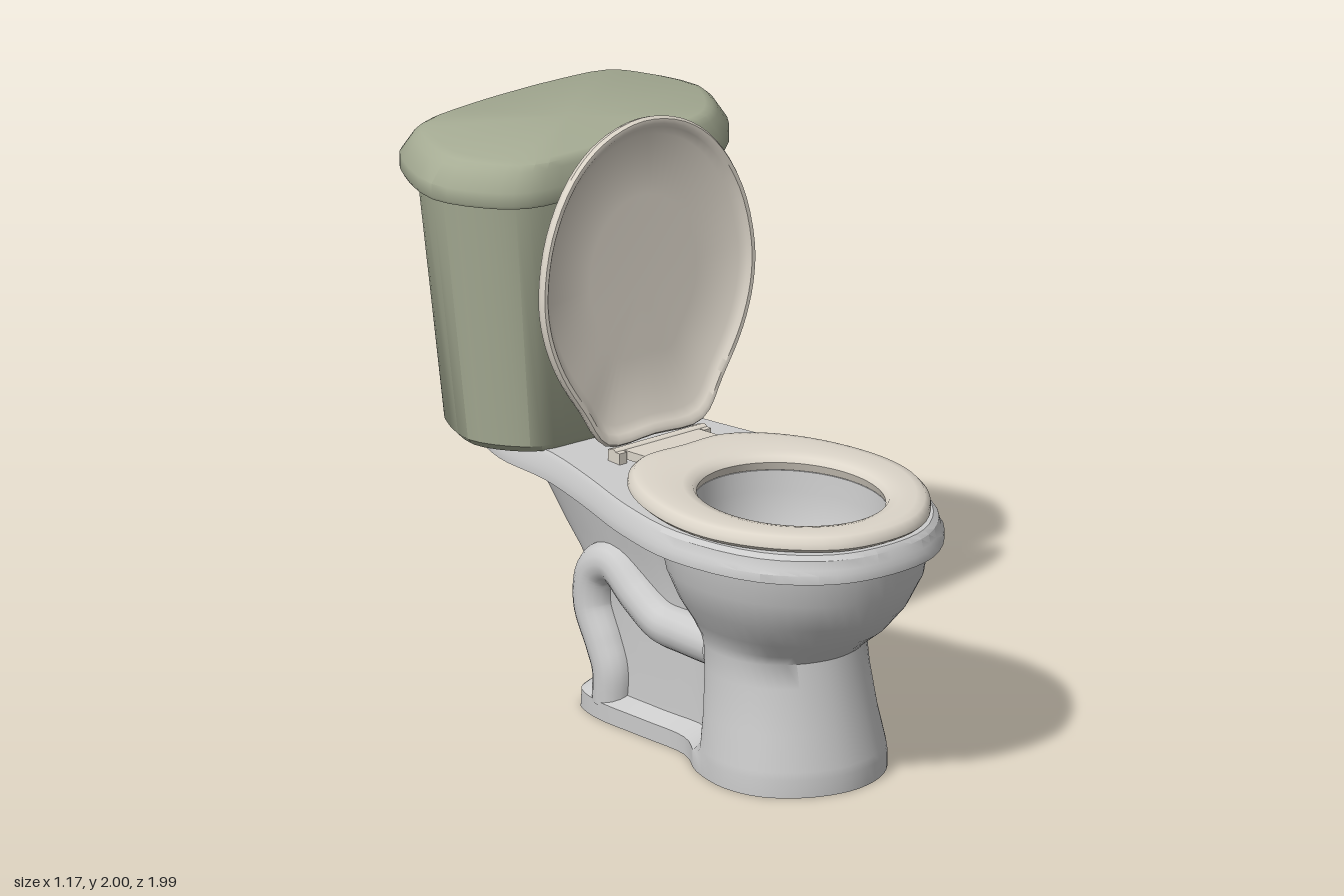
import * as THREE from 'three';
import { toCreasedNormals } from 'three/addons/utils/BufferGeometryUtils.js';

const material = (color) => new THREE.MeshStandardMaterial({ color });
const SEGMENTS = 72;

// Closed smooth ring at height y from a half outline of [x, z], front to back
function ring(half, y, n = SEGMENTS) {
  const mirrored = half.slice(1, -1).reverse().map(([x, z]) => [-x, z]);
  const points = [...half, ...mirrored].map(([x, z]) => new THREE.Vector3(x, y, z));
  const curve = new THREE.CatmullRomCurve3(points, true, 'centripetal');
  return Array.from({ length: n }, (_, i) => curve.getPoint(i / n));
}

// Scale an outline about z = cz, optionally moving its centre
const scaled = (half, sx, sz, cz, newCz = cz) =>
  half.map(([x, z]) => [x * sx, (z - cz) * sz + newCz]);

const ellipse = (rx, zBack, zFront) => Array.from({ length: 10 }, (_, i) => {
  const a = (i / 9) * Math.PI;
  return [rx * Math.sin(a), (zFront + zBack) / 2 + Math.cos(a) * (zFront - zBack) / 2];
});

// Skin a stack of rings
function loft(rings, { capStart = false, capEnd = false, closed = false, crease = 0.6 } = {}) {
  const n = rings[0].length;
  const points = rings.flat();
  const index = [];
  const count = closed ? rings.length : rings.length - 1;
  for (let i = 0; i < count; i++) {
    const p = i * n, q = ((i + 1) % rings.length) * n;
    for (let j = 0; j < n; j++) {
      const k = (j + 1) % n;
      index.push(p + j, p + k, q + j, p + k, q + k, q + j);
    }
  }
  const cap = (r, flip) => {
    const centre = new THREE.Vector3();
    rings[r].forEach((v) => centre.addScaledVector(v, 1 / n));
    const c = points.push(centre) - 1;
    for (let j = 0; j < n; j++) {
      const a = r * n + j, b = r * n + (j + 1) % n;
      index.push(c, flip ? b : a, flip ? a : b);
    }
  };
  if (capStart) cap(0, true);
  if (capEnd) cap(rings.length - 1, false);
  const geometry = new THREE.BufferGeometry().setFromPoints(points);
  geometry.setIndex(index);
  return toCreasedNormals(geometry, crease);
}

export function createModel() {
  const model = new THREE.Group();
  const china = material(0xdde0dc);
  const cream = material(0xdcd5c9);
  const green = material(0xa6ac94);
  const add = (name, geometry, mat, parent = model) => {
    const mesh = new THREE.Mesh(geometry, mat);
    mesh.name = name;
    parent.add(mesh);
    return mesh;
  };

  // Pedestal and bowl: [y, front z, half width, widest z, waist z, neck half width, rear z]
  const sections = [
    [0, 0.78, 0.3, 0.5, 0.18, 0.2, -0.44],
    [0.06, 0.78, 0.3, 0.5, 0.18, 0.2, -0.435],
    [0.085, 0.775, 0.297, 0.5, 0.21, 0.135, -0.42],
    [0.2, 0.745, 0.28, 0.48, 0.22, 0.13, -0.4],
    [0.35, 0.715, 0.265, 0.46, 0.22, 0.13, -0.41],
    [0.43, 0.7, 0.265, 0.45, 0.22, 0.13, -0.44],
    [0.465, 0.745, 0.272, 0.45, 0.21, 0.135, -0.465],
    [0.52, 0.82, 0.302, 0.46, 0.19, 0.14, -0.5],
    [0.6, 0.89, 0.355, 0.47, 0.16, 0.16, -0.555],
    [0.7, 0.943, 0.398, 0.48, 0.12, 0.18, -0.62],
    [0.81, 0.96, 0.412, 0.48, 0.08, 0.21, -0.695],
  ];
  const body = sections.map(([y, f, w, c, b, n, r]) => ring([
    [0, f], [w * 0.5, f - 0.14 * (f - c)], [w * 0.87, f - 0.5 * (f - c)], [w, c],
    [w * 0.9, c + 0.55 * (b - c)], [n, b], [n, b - 0.35 * (b - r)],
    [n, b - 0.75 * (b - r)], [n * 0.75, r + 0.035], [0, r],
  ], y));
  add('pedestal', loft(body, { capStart: true, crease: 0.9 }), china);

  // Rim deck with the basin sunk into it
  const deck = [[0, 0.99], [0.2, 0.95], [0.38, 0.78], [0.472, 0.45], [0.44, 0.15],
    [0.36, -0.15], [0.305, -0.4], [0.29, -0.65], [0.22, -0.8], [0, -0.84]];
  const deckRing = (s, y) => ring(scaled(deck, s, (1 + s) / 2, 0.075), y);
  add('rimAndBasin', loft([
    ring(ellipse(0.29, 0.14, 0.82), 0.8),
    deckRing(1, 0.8), deckRing(1, 0.83), deckRing(0.98, 0.845),
    deckRing(0.965, 0.875), deckRing(0.93, 0.89),
    ring(ellipse(0.29, 0.13, 0.82), 0.89),
    ring(ellipse(0.285, 0.135, 0.815), 0.82),
    ring(ellipse(0.27, 0.15, 0.8), 0.7),
    ring(ellipse(0.19, 0.21, 0.73), 0.57),
    ring(ellipse(0.1, 0.27, 0.64), 0.48),
    ring(ellipse(0.06, 0.29, 0.56), 0.45),
  ], { capEnd: true }), china);

  // Trapway bulging from each side of the neck
  const trapPath = [[0.28, 0.385], [0.12, 0.385], [0, 0.39], [-0.12, 0.45], [-0.24, 0.525],
    [-0.33, 0.48], [-0.35, 0.36], [-0.29, 0.24], [-0.255, 0.16], [-0.255, 0.05]];
  for (const side of [1, -1]) {
    const curve = new THREE.CatmullRomCurve3(
      trapPath.map(([z, y]) => new THREE.Vector3(side * 0.135, y, z)));
    add(side > 0 ? 'leftTrapway' : 'rightTrapway',
      new THREE.TubeGeometry(curve, 60, 0.072, 16), china);
  }

  // Seat ring
  const seat = [[0, 0.96], [0.17, 0.925], [0.33, 0.78], [0.42, 0.6], [0.44, 0.42],
    [0.405, 0.22], [0.34, 0.07], [0.26, -0.03], [0.16, -0.09], [0, -0.09]];
  const seatRing = (s, y) => ring(scaled(seat, s, s, 0.45), y);
  const hole = (g, y) => ring(ellipse(0.28 + g, 0.14 - g, 0.81 + g), y);
  add('seat', loft([
    hole(0.01, 0.892), seatRing(0.97, 0.892), seatRing(1, 0.905), seatRing(0.995, 0.925),
    seatRing(0.96, 0.942), seatRing(0.9, 0.946), hole(0.045, 0.946), hole(0.012, 0.938), hole(0, 0.92),
  ], { closed: true, crease: 0.8 }), cream);

  // Hinge tab, pin and mounts
  const hinge = new THREE.Group();
  hinge.name = 'hinge';
  model.add(hinge);
  const tab = add('hingeTab', new THREE.BoxGeometry(0.31, 0.03, 0.15), cream, hinge);
  tab.position.set(0, 0.918, -0.115);
  tab.rotation.x = -0.08;
  const pin = add('hingePin', new THREE.CylinderGeometry(0.02, 0.02, 0.38, 16), cream, hinge);
  pin.rotation.z = Math.PI / 2;
  pin.position.set(0, 0.915, -0.195);
  for (const side of [1, -1]) {
    add('hingeMount', new THREE.BoxGeometry(0.03, 0.04, 0.06), cream, hinge)
      .position.set(side * 0.175, 0.908, -0.19);
  }

  // Raised seat lid, shaped lying flat and then swung up
  const cover = [[0, 1.1], [0.17, 1.06], [0.3, 0.96], [0.4, 0.79], [0.442, 0.59],
    [0.43, 0.45], [0.38, 0.31], [0.29, 0.165], [0.2, 0.04], [0, 0.035]];
  const coverRing = (s, y) => ring(scaled(cover, s, s, 0.57), y);
  const lid = add('seatLid', loft([
    coverRing(0.5, 0.035), coverRing(0.88, 0.028), coverRing(0.93, 0.012), coverRing(0.955, 0),
    coverRing(0.985, 0), coverRing(1, 0.012), coverRing(0.99, 0.03), coverRing(0.94, 0.05),
    coverRing(0.8, 0.072), coverRing(0.5, 0.088),
  ], { capStart: true, capEnd: true, crease: 0.8 }), cream);
  lid.position.set(0, 0.9, -0.205);
  lid.rotation.x = -Math.PI / 2 - 0.058;

  // Tank and its bevelled lid share one outline
  const tankOutline = [[0, -0.34], [0.22, -0.345], [0.4, -0.365], [0.51, -0.46], [0.585, -0.63],
    [0.515, -0.86], [0.44, -0.955], [0.2, -0.994], [0, -1]];
  const tankRing = (y, sx, sz, cz) => ring(scaled(tankOutline, sx, sz, -0.67, cz), y, 48);
  add('tank', loft([
    tankRing(0.885, 0.72, 0.7, -0.643), tankRing(0.91, 0.765, 0.755, -0.643),
    tankRing(1.77, 0.923, 0.864, -0.665),
  ], { capStart: true, crease: 0.7 }), green);
  add('tankLid', loft([
    tankRing(1.755, 0.9, 0.84, -0.665), tankRing(1.755, 0.99, 0.99, -0.67),
    tankRing(1.765, 1, 1, -0.67), tankRing(1.81, 1, 1, -0.67),
    tankRing(1.87, 0.925, 0.93, -0.665), tankRing(1.89, 0.885, 0.895, -0.66),
    tankRing(1.9, 0.84, 0.85, -0.66),
  ], { capStart: true, capEnd: true, crease: 0.7 }), green);

  return model;
}
